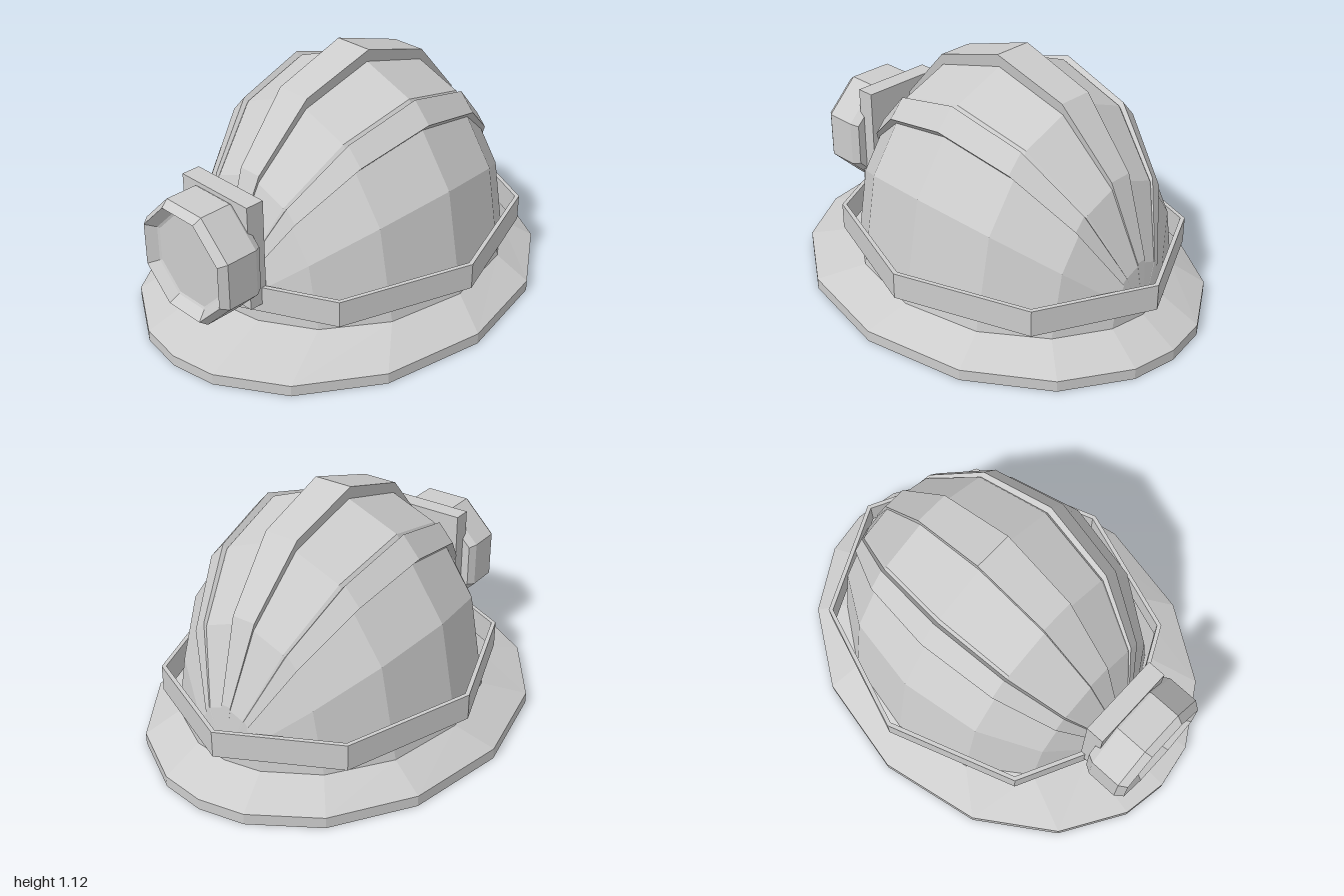
import * as THREE from 'three';

const grey = new THREE.MeshStandardMaterial({ color: 0xcccccc, flatShading: true });
const rad = THREE.MathUtils.degToRad;

// Skin a grid of points: rows run upward, points in a row run to the right, seen from outside
function loft(name, rows) {
  const n = rows[0].length, index = [];
  for (let j = 0; j < rows.length - 1; j++) {
    for (let i = 0; i < n - 1; i++) {
      const a = j * n + i, d = a + n;
      index.push(a, a + 1, d + 1, a, d + 1, d);
    }
  }
  const geo = new THREE.BufferGeometry();
  geo.setAttribute('position', new THREE.Float32BufferAttribute(rows.flat(2), 3));
  geo.setIndex(index);
  geo.computeVertexNormals();
  const mesh = new THREE.Mesh(geo, grey);
  mesh.name = name;
  return mesh;
}

// Uneven angles from the front pole to the back pole, shared by shell and brim
const quarter = [0, 15, 37.5, 62.5, 90];
const half = [...quarter, ...quarter.slice(0, 4).reverse().map((a) => 180 - a)];
const full = [...half, ...half.slice(1).map((a) => a + 180)];
const shellZ = -0.065;

// Horizontal elliptical ring
const ring = (angles, rx, rz, y, cz) =>
  angles.map((a) => [rx * Math.sin(rad(a)), y, cz + rz * Math.cos(rad(a))]);

// Sweep a cross-section from front pole to back pole, shrinking toward the poles
const sweep = (name, section, baseY, rz) =>
  loft(name, half.map((a) => section.map(([x, y]) => [
    x * Math.sin(rad(a)),
    baseY + (y - baseY) * Math.sin(rad(a)),
    shellZ + rz * Math.cos(rad(a)),
  ])));

// Half-ellipse cross-section in six facets
const arch = (rx, ry, baseY) => [180, 150, 120, 90, 60, 30, 0].map(
  (a) => [rx * Math.cos(rad(a)), baseY + ry * Math.sin(rad(a))]);

export function createModel() {
  const model = new THREE.Group();
  model.name = 'minersHelmet';

  // Shell, outside and lining
  model.add(sweep('shell', arch(0.645, 0.95, 0.145), 0.145, 0.765));
  model.add(sweep('shellLining', arch(0.585, 0.94, 0.1).reverse(), 0.1, 0.7));

  // Flared brim
  model.add(loft('brim', [
    ring(full, 0.585, 0.7, 0.1, shellZ),
    ring(full, 0.805, 1, 0, 0),
    ring(full, 0.805, 1, 0.05, 0),
    ring(full, 0.645, 0.765, 0.145, shellZ),
  ]));

  // Three raised ridges running front to back
  const side = [[0.335, 0.95], [0.355, 0.975], [0.435, 0.885], [0.4, 0.85]];
  model.add(sweep('centreRidge', [[-0.08, 1.055], [-0.09, 1.12], [0.09, 1.12], [0.08, 1.055]], 0.145, 0.765));
  model.add(sweep('leftRidge', side, 0.145, 0.765));
  model.add(sweep('rightRidge', side.map(([x, y]) => [-x, y]).reverse(), 0.145, 0.765));

  // Eight-sided strap standing off the shell
  const eight = Array.from({ length: 9 }, (_, i) => i * 45);
  model.add(loft('strap', [
    ring(eight, 0.685, 0.815, 0.205, shellZ),
    ring(eight, 0.705, 0.835, 0.205, shellZ),
    ring(eight, 0.705, 0.835, 0.325, shellZ),
    ring(eight, 0.685, 0.815, 0.325, shellZ),
    ring(eight, 0.685, 0.815, 0.205, shellZ),
  ]));

  // Lamp bracket
  const bracket = new THREE.Mesh(new THREE.BoxGeometry(0.395, 0.485, 0.085), grey);
  bracket.name = 'lampBracket';
  bracket.position.set(0, 0.4875, 0.6925);
  model.add(bracket);

  // Octagonal lamp with bevelled rim and recessed lens; radii given across the flats
  const profile = [[0, 0.71], [0.235, 0.71], [0.255, 0.745], [0.255, 0.89], [0.23, 0.925], [0.195, 0.885], [0.185, 0.88], [0, 0.88]]
    .map(([r, z]) => new THREE.Vector2(r / Math.cos(Math.PI / 8), z));
  const lampGeo = new THREE.LatheGeometry(profile, 8, Math.PI / 8).rotateX(Math.PI / 2);
  const lamp = new THREE.Mesh(lampGeo, grey);
  lamp.name = 'headlamp';
  lamp.position.y = 0.46;
  model.add(lamp);

  return model;
}
